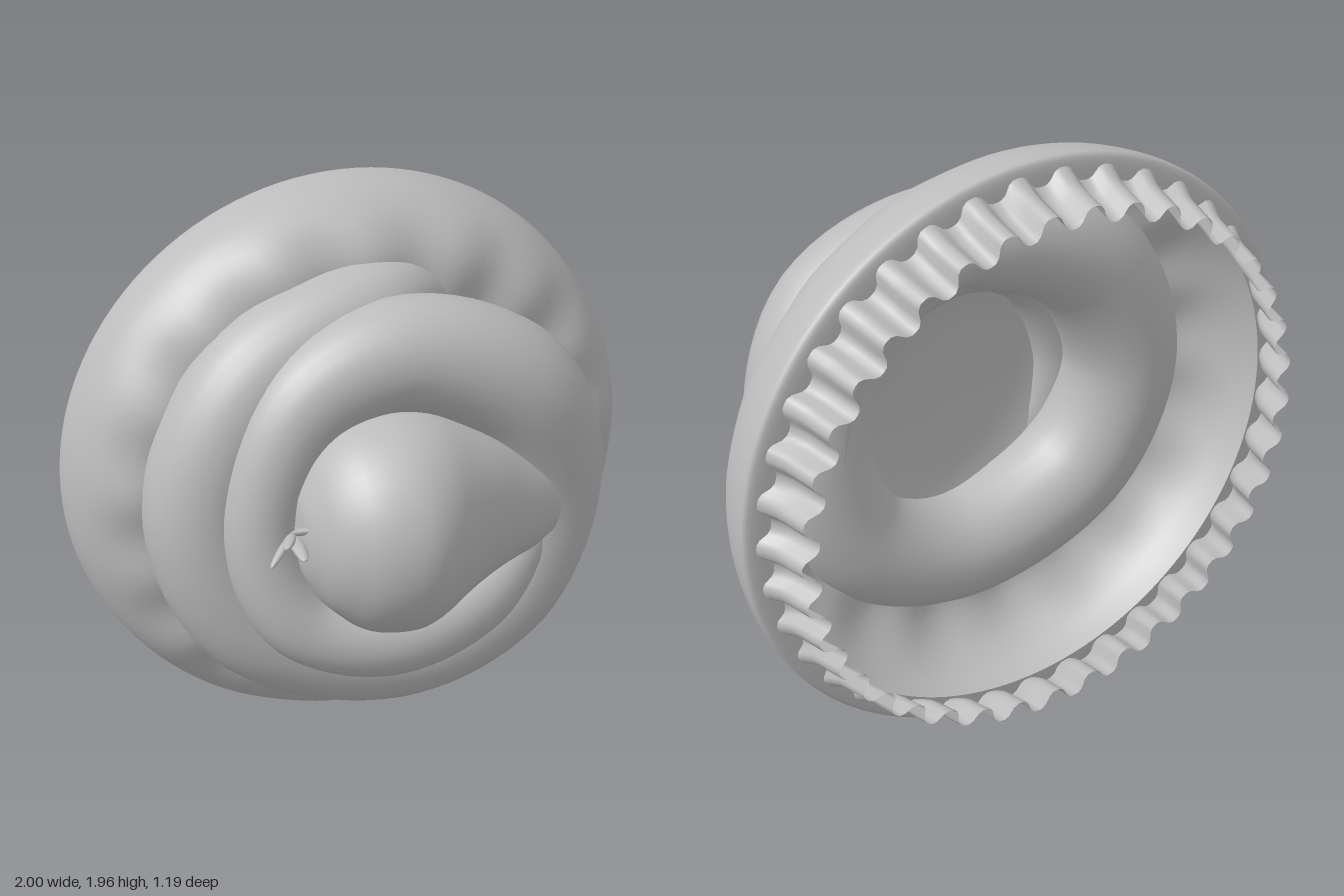
import * as THREE from 'three';
import { mergeVertices } from 'three/addons/utils/BufferGeometryUtils.js';

const CY = 0.98; // height of the shared axis, which runs along z
const TAU = Math.PI * 2;

// Smooth grid surface from f(u, v, target); u x v points outward
function surface(f, nu, nv) {
  const pos = [], idx = [], p = new THREE.Vector3();
  for (let i = 0; i <= nv; i++) {
    for (let j = 0; j <= nu; j++) {
      f(j / nu, i / nv, p);
      pos.push(p.x, p.y, p.z);
      if (i < nv && j < nu) {
        const a = i * (nu + 1) + j, b = a + nu + 1;
        idx.push(a, a + 1, b, a + 1, b + 1, b);
      }
    }
  }
  let g = new THREE.BufferGeometry();
  g.setAttribute('position', new THREE.Float32BufferAttribute(pos, 3));
  g.setIndex(idx);
  g = mergeVertices(g, 1e-4);
  g.computeVertexNormals();
  return g;
}

const curve3 = pts => new THREE.CatmullRomCurve3(pts.map(p => new THREE.Vector3(...p)), false, 'centripetal');
const curve2 = pts => new THREE.SplineCurve(pts.map(p => new THREE.Vector2(...p)));

// Round tube along keys [x, y, z, radius]
function taperedTube(keys, nu, nv) {
  const path = curve3(keys.map(k => k.slice(0, 3)));
  const radius = curve2(keys.map((k, i) => [i, k[3]]));
  const Z = new THREE.Vector3(0, 0, 1), B = new THREE.Vector3(), N = new THREE.Vector3();
  return surface((u, v, p) => {
    const T = path.getTangent(v);
    B.copy(Z).addScaledVector(T, -T.z).normalize();
    N.crossVectors(B, T);
    const r = Math.max(0, radius.getPoint(v).y), a = u * TAU;
    p.copy(path.getPoint(v)).addScaledVector(N, r * Math.cos(a)).addScaledVector(B, r * Math.sin(a));
  }, nu, nv);
}

export function createModel() {
  const group = new THREE.Group();
  const grey = new THREE.MeshStandardMaterial({ color: 0xbcbcbc, side: THREE.DoubleSide });
  grey.name = 'light grey';
  const add = (name, geometry) => {
    const m = new THREE.Mesh(geometry, grey);
    m.name = name;
    group.add(m);
  };

  // Pleated paper cup, open at the back
  const pleats = 38;
  const cup = curve2([[0.86, -0.585], [0.875, -0.53], [0.892, -0.47], [0.925, -0.415]]);
  add('pleatedCup', surface((u, v, p) => {
    const c = cup.getPoint(v), a = u * TAU;
    const r = c.x + (0.03 - 0.006 * v) * Math.tanh(1.8 * Math.cos(a * pleats));
    p.set(r * Math.cos(a) * 1.015, CY + r * Math.sin(a), c.y);
  }, pleats * 10, 6));

  // Hollow base ring of icing with a gently rippled front
  const ring = curve2([[0.89, -0.42], [0.96, -0.415], [0.98, -0.39], [0.968, -0.3], [0.94, -0.22],
    [0.88, -0.14], [0.79, -0.085], [0.68, -0.075], [0.55, -0.1]]);
  add('baseIcing', surface((u, v, p) => {
    const c = ring.getPoint(v), a = u * TAU;
    const k = THREE.MathUtils.smoothstep(v, 0.4, 0.75);
    const r = c.x + 0.006 * Math.sin(7 * a) * k;
    p.set(r * Math.cos(a) * 1.018, CY + r * Math.sin(a), c.y + 0.01 * k * Math.sin(17 * a));
  }, 120, 28));

  // Two-turn icing coil, starting as a thin tail inside the base
  add('icingCoil', taperedTube([
    [0.43, 1.45, -0.23, 0], [0.41, 1.47, -0.225, 0.03], [0.22, 1.57, -0.16, 0.095], [0, 1.59, -0.09, 0.165],
    [-0.42, 1.41, -0.06, 0.2], [-0.605, 1.0, -0.05, 0.2], [-0.445, 0.59, -0.02, 0.205],
    [0.04, 0.41, 0.01, 0.205], [0.41, 0.57, 0.03, 0.205], [0.545, 0.95, 0.055, 0.2],
    [0.4, 1.34, 0.115, 0.205], [0.02, 1.505, 0.1, 0.185], [-0.31, 1.38, 0.1, 0.16],
    [-0.47, 1.0, 0.135, 0.13], [-0.37, 0.69, 0.19, 0.135], [-0.08, 0.59, 0.24, 0.14],
    [0.22, 0.66, 0.22, 0.135], [0.39, 0.78, 0.17, 0.105], [0.49, 0.89, 0.15, 0.045], [0.5, 0.91, 0.15, 0],
  ], 24, 180));

  // Tilted, shallow dished floor closing the middle of the coil
  const dish = curve2([[0.52, 0], [0.4, 0.05], [0.25, 0.08], [0, 0.09]]);
  add('coilFloor', surface((u, v, p) => {
    const c = dish.getPoint(v), x = c.x * Math.cos(u * TAU);
    p.set(x, CY + c.x * Math.sin(u * TAU), c.y - 0.04 - 0.2 * x);
  }, 40, 10));

  // Teardrop peak, drawn out to one side and flattened behind
  const peak = taperedTube([
    [-0.4, 1.02, 0.24, 0], [-0.385, 1.02, 0.24, 0.12], [-0.33, 1.02, 0.24, 0.235], [-0.23, 1.02, 0.24, 0.325],
    [-0.1, 1.015, 0.24, 0.36], [0.03, 1.01, 0.24, 0.345], [0.18, 0.995, 0.24, 0.275], [0.33, 0.965, 0.23, 0.195],
    [0.45, 0.93, 0.22, 0.125], [0.505, 0.91, 0.22, 0.065], [0.52, 0.905, 0.22, 0],
  ], 40, 48);
  const pos = peak.attributes.position;
  for (let i = 0; i < pos.count; i++) {
    const z = pos.getZ(i) - 0.24;
    const front = 1 - 0.35 * THREE.MathUtils.smoothstep(pos.getX(i), -0.1, 0.35);
    pos.setZ(i, 0.24 + z * (z < 0 ? 0.3 : front));
  }
  peak.computeVertexNormals();
  add('icingPeak', peak);

  // Little fan of petals tucked beside the peak
  const petals = new THREE.Group();
  petals.name = 'petals';
  for (const [dx, dy, dz] of [[-0.1, -0.05, 0.1], [-0.06, 0.03, 0.14], [-0.015, 0, 0.18], [0.05, 0.06, 0.11]]) {
    const dir = new THREE.Vector3(dx, dy, dz), len = dir.length();
    const petal = new THREE.Mesh(new THREE.SphereGeometry(1, 10, 8), grey);
    petal.name = 'petal';
    petal.scale.set(0.022, len / 2, 0.012);
    petal.position.set(-0.41, 1.03, 0.25).addScaledVector(dir, 0.5);
    petal.quaternion.setFromUnitVectors(new THREE.Vector3(0, 1, 0), dir.normalize());
    petals.add(petal);
  }
  group.add(petals);
  return group;
}
